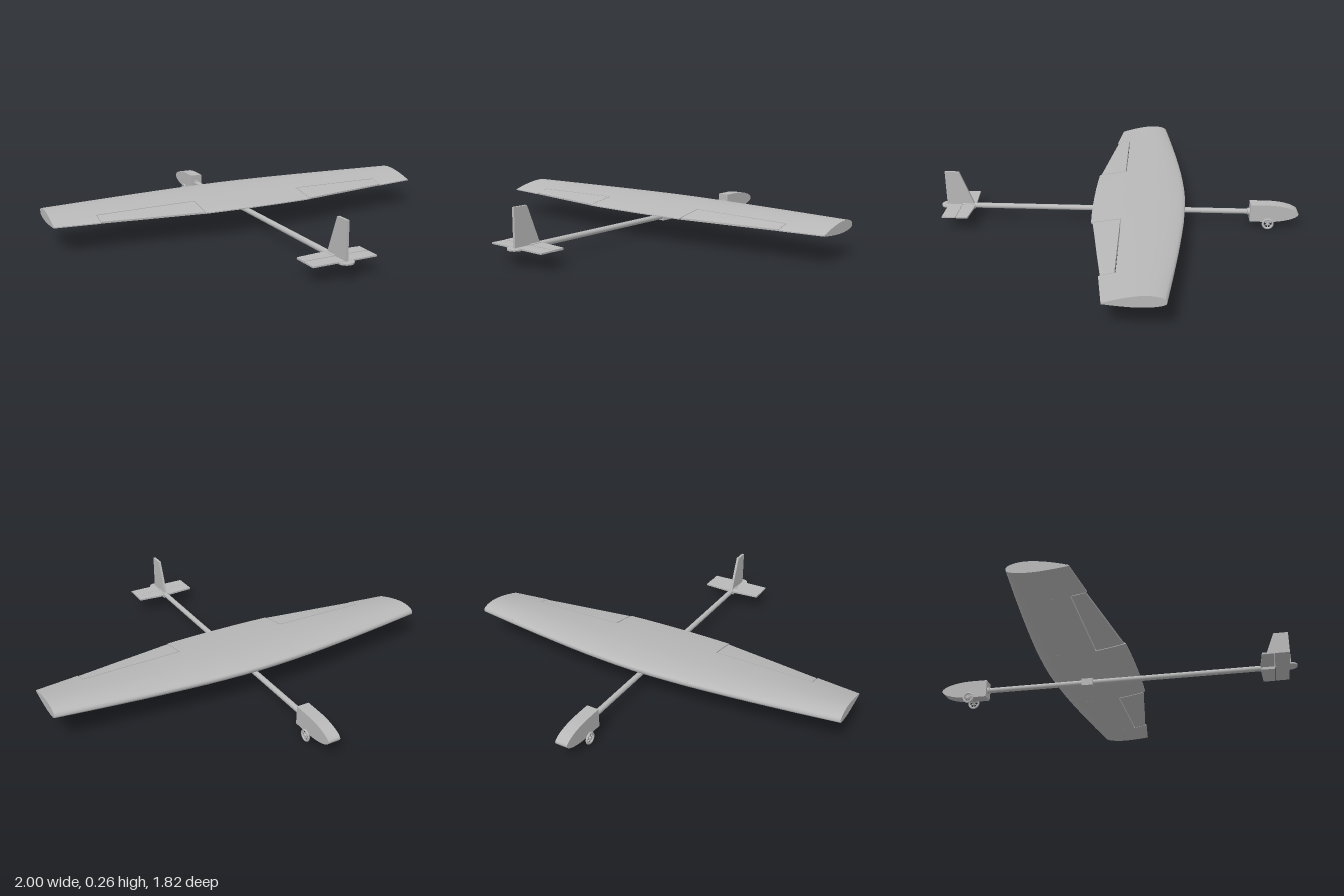
import * as THREE from 'three';
import { toCreasedNormals } from 'three/addons/utils/BufferGeometryUtils.js';

const grey = new THREE.MeshStandardMaterial({ color: 0xb8b8b8 });
grey.name = 'plain grey';

// Linear lookup in a short list of [x, value] stations
function lookup(table, x) {
  for (let i = 1; i < table.length; i++) {
    if (x <= table[i][0]) {
      const [a, b] = [table[i - 1], table[i]];
      return a[1] + (b[1] - a[1]) * (x - a[0]) / (b[0] - a[0]);
    }
  }
  return table[table.length - 1][1];
}
const LEADING = [[0, -0.34], [0.1, -0.338], [0.2, -0.333], [0.3, -0.327], [0.45, -0.313], [0.6, -0.297], [0.8, -0.273], [1, -0.247]];
const TRAILING = [[0, 0.12], [0.15, 0.119], [0.29, 0.113], [0.4, 0.097], [0.6, 0.069], [0.79, 0.041], [1, 0.015]];
const leading = x => lookup(LEADING, Math.abs(x));
const trailing = x => lookup(TRAILING, Math.abs(x));

// Wing section heights, s = 0 at the leading edge, 1 at the trailing edge
const arc = (s, m) => Math.sqrt(Math.max(0, 1 - ((m - s) / m) ** 2));
function upper(s) {
  return s < 0.3 ? 0.15 + 0.025 * arc(s, 0.3) : 0.175 - 0.039 * ((s - 0.3) / 0.7) ** 1.6;
}
function lower(s, x) {
  const m = 0.095 + 0.025 * x * x;
  return s < 0.45 ? 0.142 - (0.142 - m) * arc(s, 0.45) : m + (0.131 - m) * ((s - 0.45) / 0.55) ** 1.5;
}

// Closed loft over stations [x, zFront, zBack] following the wing surface
function wingLoft(stations, steps) {
  const pos = [], index = [], ring = 2 * (steps + 1);
  for (const [x, z0, z1] of stations) {
    const le = leading(x), chord = trailing(x) - le;
    for (let i = 0; i < ring; i++) {
      const top = i <= steps;
      const t = (top ? i : ring - 1 - i) / steps;
      const z = z0 + (z1 - z0) * (1 - Math.cos(t * Math.PI / 2));
      const s = Math.min(1, Math.max(0, (z - le) / chord));
      pos.push(x, top ? upper(s) : lower(s, x), z);
    }
  }
  for (let j = 0; j < stations.length - 1; j++) {
    for (let i = 0; i < ring; i++) {
      const a = j * ring + i, b = j * ring + (i + 1) % ring;
      index.push(a, b, a + ring, b, b + ring, a + ring);
    }
  }
  const end = (stations.length - 1) * ring;
  for (let k = 0; k < steps; k++) {
    const a = k, b = k + 1, c = ring - 1 - k, d = ring - 2 - k;
    index.push(end + a, end + b, end + c, end + b, end + d, end + c);
    index.push(a, c, b, b, c, d);
  }
  const geo = new THREE.BufferGeometry();
  geo.setAttribute('position', new THREE.Float32BufferAttribute(pos, 3));
  geo.setIndex(index);
  return toCreasedNormals(geo, 0.6);
}

// Extrusion seen from the side: shape x is -z, shape y is height
function sideExtrude(shape, width) {
  const geo = new THREE.ExtrudeGeometry(shape, { depth: width, bevelEnabled: false, curveSegments: 16 });
  return toCreasedNormals(geo.translate(0, 0, -width / 2).rotateY(Math.PI / 2), 0.5);
}
// Flat plate seen from above: shape y is z
function plate(shape, yTop, thick) {
  const geo = new THREE.ExtrudeGeometry(shape, { depth: thick, bevelEnabled: false, curveSegments: 16 });
  return geo.rotateX(Math.PI / 2).translate(0, yTop, 0);
}
const polygon = pts => new THREE.Shape(pts.map(p => new THREE.Vector2(...p)));

export function createModel() {
  const model = new THREE.Group();
  model.name = 'glider';
  const add = (name, geo, parent = model) => {
    const mesh = new THREE.Mesh(geo, grey);
    mesh.name = name;
    parent.add(mesh);
    return mesh;
  };
  const box = (name, w, h, d, x, y, z) => add(name, new THREE.BoxGeometry(w, h, d).translate(x, y, z));

  // Main wing, with bays cut out for the ailerons
  const HINGE = -0.032, IN = 0.29, OUT = 0.79;
  const half = [];
  const station = (x, cut) => half.push([x, leading(x), cut ? HINGE : trailing(x)]);
  for (const x of [0, 0.1, 0.2, IN]) station(x, false);
  for (const x of [IN, 0.4, 0.5, 0.6, 0.7, OUT]) station(x, true);
  for (const x of [OUT, 0.9, 1]) station(x, false);
  const mirrored = half.slice(1).reverse().map(([x, a, b]) => [-x, a, b]);
  add('wing', wingLoft([...mirrored, ...half], 24));

  // Ailerons
  for (const side of [-1, 1]) {
    const xs = [IN + 0.005, 0.4, 0.5, 0.6, 0.7, OUT - 0.003].map(x => x * side);
    if (side < 0) xs.reverse();
    add(side > 0 ? 'leftAileron' : 'rightAileron',
      wingLoft(xs.map(x => [x, HINGE + 0.005, trailing(x) - 0.008]), 8));
  }

  // Boom and wing saddle
  add('boom', new THREE.CylinderGeometry(0.0135, 0.0135, 1.48, 24).rotateX(Math.PI / 2).translate(0, 0.078, 0.06));
  box('wingSaddle', 0.034, 0.045, 0.058, 0, 0.081, -0.137);

  // Nose pod
  const pod = new THREE.Shape();
  pod.moveTo(0.67, 0.035);
  pod.lineTo(0.77, 0.035);
  pod.bezierCurveTo(0.84, 0.037, 0.91, 0.058, 0.911, 0.08);
  pod.bezierCurveTo(0.91, 0.1, 0.85, 0.124, 0.76, 0.126);
  pod.lineTo(0.67, 0.126);
  add('nosePod', sideExtrude(pod, 0.062));
  add('podCollar', new THREE.CylinderGeometry(0.018, 0.018, 0.012, 24).rotateX(Math.PI / 2).translate(0, 0.078, -0.665));

  // Spoked wheels on an axle
  add('axle', new THREE.CylinderGeometry(0.004, 0.004, 0.094, 12).rotateZ(Math.PI / 2).translate(0, 0.03, -0.76));
  for (const side of [-1, 1]) {
    const wheel = new THREE.Group();
    wheel.name = side > 0 ? 'leftWheel' : 'rightWheel';
    wheel.position.set(side * 0.042, 0.03, -0.76);
    model.add(wheel);
    add('tyre', new THREE.TorusGeometry(0.0245, 0.0055, 10, 32).rotateY(Math.PI / 2), wheel);
    add('hub', new THREE.CylinderGeometry(0.007, 0.007, 0.014, 16).rotateZ(Math.PI / 2), wheel);
    for (let i = 0; i < 3; i++) {
      add('spoke', new THREE.BoxGeometry(0.004, 0.046, 0.004).rotateX(i * Math.PI / 3), wheel);
    }
  }

  // Tail: bracket, stabiliser, elevator, skid and fin
  box('tailBracket', 0.03, 0.024, 0.065, 0, 0.076, 0.768);
  add('stabiliser', plate(polygon([[-0.16, 0.8], [-0.16, 0.743], [-0.03, 0.733], [0.03, 0.733], [0.16, 0.743], [0.16, 0.8]]), 0.086, 0.009));
  add('elevator', plate(polygon([[-0.16, 0.803], [0.16, 0.803], [0.16, 0.872], [-0.16, 0.872]]), 0.085, 0.007));
  const skid = new THREE.Shape();
  skid.absarc(0, 0.872, 0.037, 0, Math.PI, false);
  add('tailDisc', plate(skid, 0.084, 0.008));
  add('fin', sideExtrude(polygon([[-0.88, 0.078], [-0.737, 0.078], [-0.741, 0.09], [-0.808, 0.262], [-0.88, 0.262]]), 0.013));

  return model;
}
